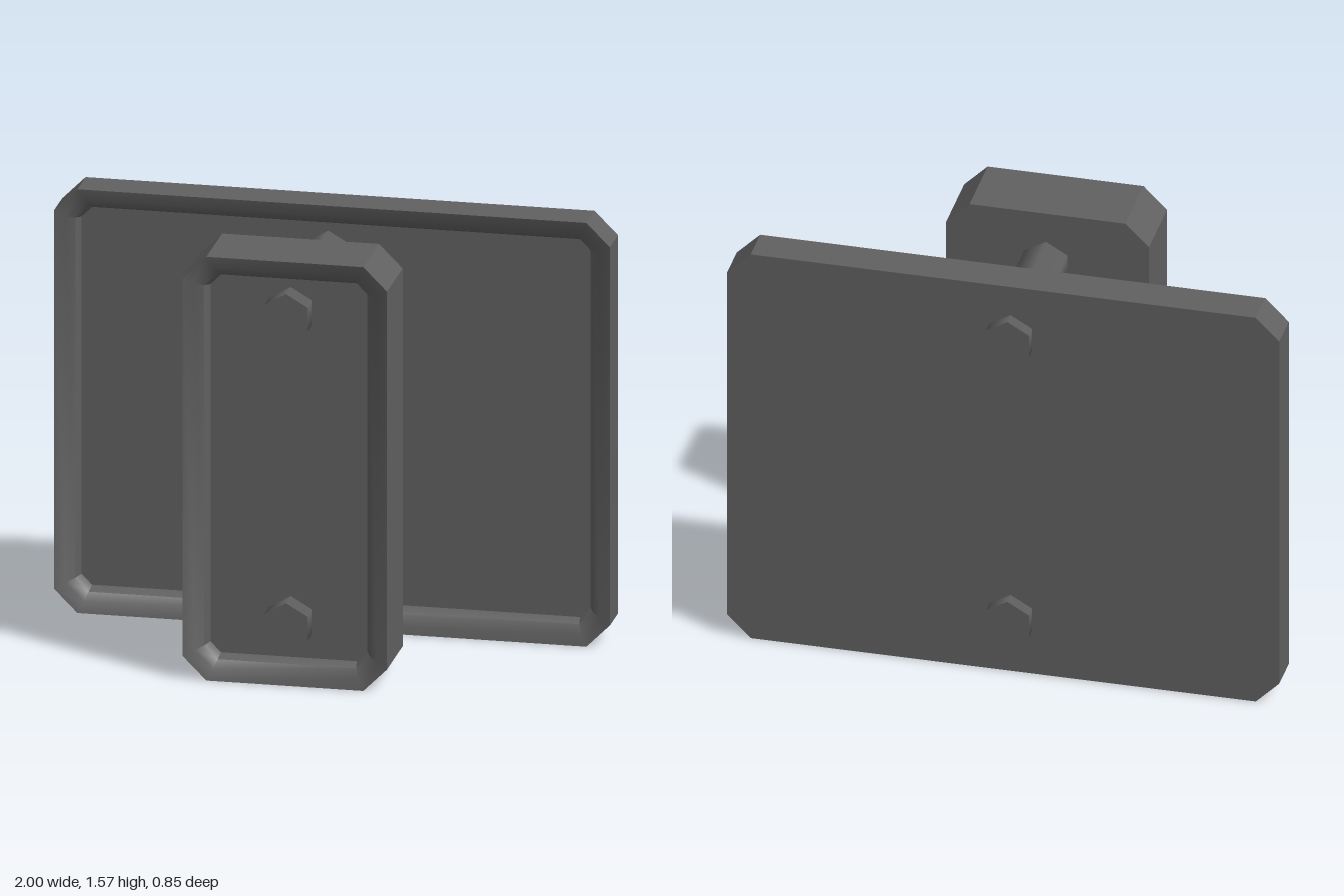
import * as THREE from 'three';
import { toCreasedNormals } from 'three/addons/utils/BufferGeometryUtils.js';

const HEIGHT = 1.57;

// Rectangle with cut corners, counter-clockwise seen from +z
function octagon(x0, x1, inset, cut, z) {
  const l = x0 + inset, r = x1 - inset, b = inset, t = HEIGHT - inset;
  return [
    [l + cut, b], [r - cut, b], [r, b + cut], [r, t - cut],
    [r - cut, t], [l + cut, t], [l, t - cut], [l, b + cut],
  ].map(([x, y]) => new THREE.Vector3(x, y, z));
}

// Solid plate with a rounded lip falling to a recessed front panel
function dishedPlate(x0, x1, zBack, zFront) {
  // inset, corner cut, depth below the front edge
  const lip = [[0, 0.085, 0], [0.04, 0.066, 0.013], [0.07, 0.048, 0.035], [0.085, 0.038, 0.07]];
  const rings = [octagon(x0, x1, 0, 0.085, zBack)];
  for (const [inset, cut, depth] of lip) rings.push(octagon(x0, x1, inset, cut, zFront - depth));

  const points = [];
  for (let k = 0; k < rings.length - 1; k++) {
    for (let i = 0; i < 8; i++) {
      const j = (i + 1) % 8;
      const [a, b, c, d] = [rings[k][i], rings[k][j], rings[k + 1][j], rings[k + 1][i]];
      points.push(a, b, c, a, c, d);
    }
  }
  // Back face and recessed panel
  const back = rings[0], panel = rings[rings.length - 1];
  for (let i = 1; i < 7; i++) {
    points.push(back[0], back[i + 1], back[i]);
    points.push(panel[0], panel[i], panel[i + 1]);
  }
  const geometry = new THREE.BufferGeometry().setFromPoints(points);
  return toCreasedNormals(geometry, 0.65);
}

export function createModel() {
  const model = new THREE.Group();
  model.name = 'boltedPlates';
  const steel = new THREE.MeshStandardMaterial({ color: 0x606060 });
  steel.name = 'darkSteel';

  const add = (name, geometry) => {
    const mesh = new THREE.Mesh(geometry, steel);
    mesh.name = name;
    model.add(mesh);
    return mesh;
  };

  add('backPlate', dishedPlate(-1, 1, -0.375, -0.235));
  add('frontPlate', dishedPlate(-0.4, 0.335, 0.145, 0.412));

  // Hexagonal rods running through both plates
  const rod = new THREE.CylinderGeometry(0.09, 0.09, 0.848, 6);
  rod.rotateX(Math.PI / 2);
  for (const [name, y] of [['upperRod', 1.365], ['lowerRod', 0.22]]) {
    add(name, rod).position.set(-0.027, y, 0);
  }
  return model;
}
